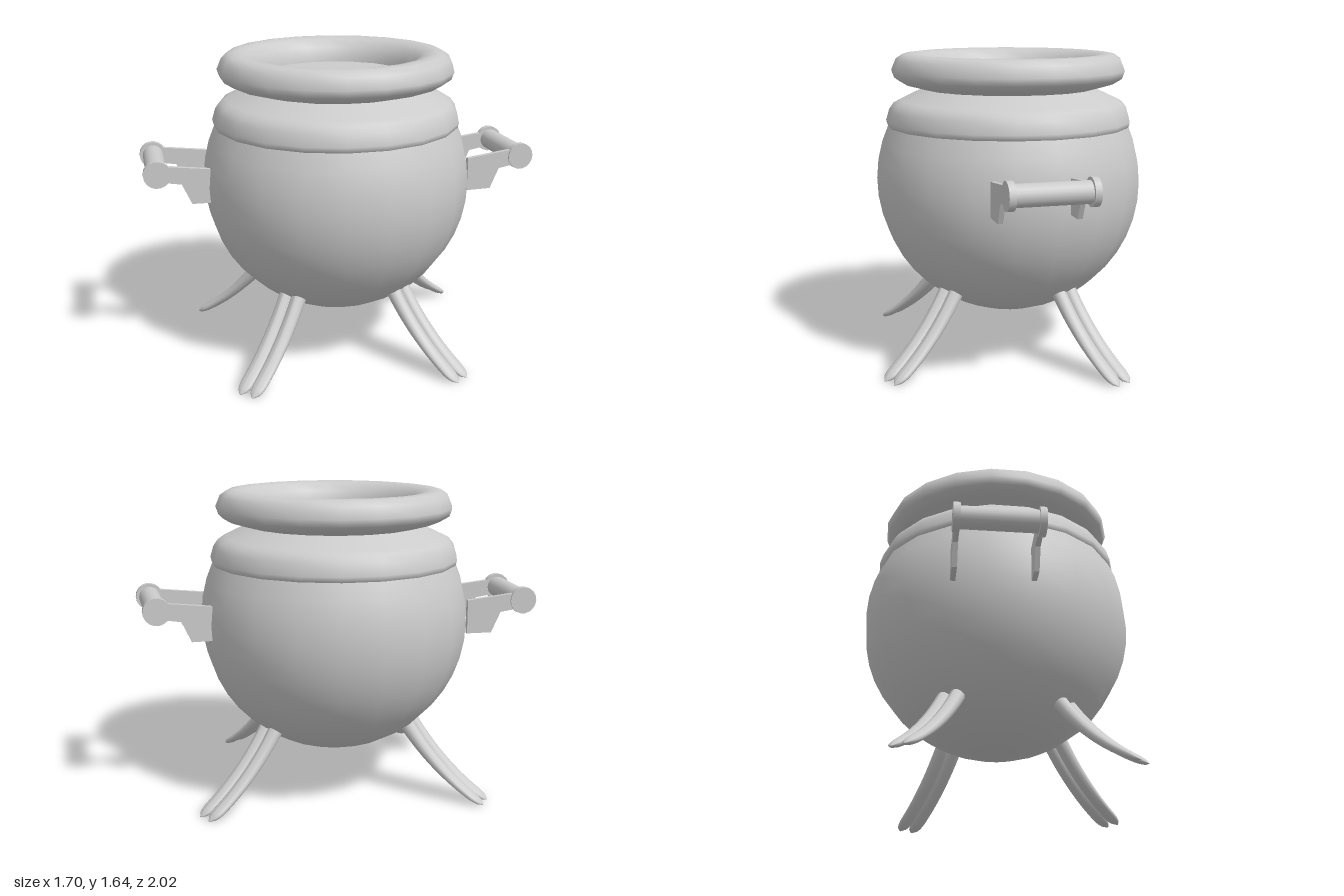
import * as THREE from 'three';

const material = new THREE.MeshStandardMaterial({ color: 0xcccccc, side: THREE.DoubleSide });
const SIDES = 20;

function add(parent, name, geometry) {
  const mesh = new THREE.Mesh(geometry, material);
  mesh.name = name;
  parent.add(mesh);
  return mesh;
}

const lathe = (pairs) =>
  new THREE.LatheGeometry(pairs.map(([r, y]) => new THREE.Vector2(r, y)), SIDES);

// Round bowl: a sphere cut off below the shoulder
function bowlProfile() {
  const R = 0.725, cy = 0.967, n = 14, end = 2.02;
  return Array.from({ length: n + 1 }, (_, i) => {
    const a = (i / n) * end;
    return [R * Math.sin(a), cy - R * Math.cos(a)];
  });
}

// One toe: a cylinder bent along a curve, flattened and rounded at the tip
function toeGeometry() {
  const path = new THREE.QuadraticBezierCurve(
    new THREE.Vector2(0.44, 0.425), new THREE.Vector2(0.63, 0.16), new THREE.Vector2(0.89, 0.02));
  const geo = new THREE.CylinderGeometry(1, 1, 1, 12, 24);
  const pos = geo.attributes.position;
  for (let i = 0; i < pos.count; i++) {
    const t = 0.5 - pos.getY(i);
    const p = path.getPoint(t), d = path.getTangent(t);
    const round = Math.sqrt(Math.max(0.01, 1 - Math.max(0, (t - 0.86) / 0.14) ** 2));
    const side = pos.getX(i) * 0.04 * round;
    const up = pos.getZ(i) * (0.04 - 0.022 * t) * round;
    pos.setXYZ(i, side, p.y + d.x * up, p.x - d.y * up);
  }
  geo.computeVertexNormals();
  return geo;
}

// Handle bracket: a thin plate with a foot against the bowl
function bracketGeometry() {
  const shape = new THREE.Shape([
    [0, 0.045], [-0.31, 0.01], [-0.31, -0.17], [-0.175, -0.17], [-0.125, -0.06], [0, -0.04],
  ].map(([u, y]) => new THREE.Vector2(u, y)));
  const geo = new THREE.ExtrudeGeometry(shape, { depth: 0.026, bevelEnabled: false });
  return geo.translate(0, 0, -0.013).rotateY(-Math.PI / 2);
}

// Handle: grip bar along x, end caps and brackets; +z points away from the bowl
function createHandle() {
  const handle = new THREE.Group();
  add(handle, 'handleGrip', new THREE.CylinderGeometry(0.056, 0.056, 0.4, 18).rotateZ(Math.PI / 2));
  const cap = new THREE.CylinderGeometry(0.072, 0.072, 0.034, 18).rotateZ(Math.PI / 2);
  const bracket = bracketGeometry();
  for (const s of [-1, 1]) {
    add(handle, 'handleCap', cap).position.x = s * 0.205;
    add(handle, 'handleBracket', bracket).position.x = s * 0.2;
  }
  return handle;
}

export function createModel() {
  const model = new THREE.Group();
  model.name = 'cauldron';

  const pot = new THREE.Group();
  pot.name = 'pot';
  pot.position.set(-0.04, 0, 0.013);
  model.add(pot);

  add(pot, 'bowl', lathe(bowlProfile()));
  add(pot, 'shoulder', lathe([
    [0.645, 1.26], [0.662, 1.275], [0.668, 1.3], [0.65, 1.36], [0.625, 1.395], [0.59, 1.413], [0.465, 1.472],
  ]));
  add(pot, 'rim', lathe([
    [0.46, 1.47], [0.57, 1.5], [0.62, 1.53], [0.635, 1.57], [0.61, 1.63], [0.575, 1.655],
    [0.53, 1.66], [0.475, 1.65], [0.432, 1.61], [0.412, 1.56], [0.408, 1.52],
  ]));
  const contents = add(pot, 'contents', new THREE.CircleGeometry(0.412, SIDES).rotateX(-Math.PI / 2));
  contents.position.y = 1.53;

  // Four splayed legs, each of two toes side by side
  const toe = toeGeometry();
  const legs = { backLeg: [-0.035, -0.89], leftLeg: [0.88, -0.115], frontLeg: [0.28, 0.85], rightLeg: [-0.79, 0.4] };
  for (const [name, [x, z]] of Object.entries(legs)) {
    const leg = new THREE.Group();
    leg.name = name;
    leg.rotation.y = Math.atan2(x, z);
    for (const s of [-1, 1]) add(leg, 'toe', toe).position.x = s * 0.038;
    pot.add(leg);
  }

  // Two handles on opposite sides: position, then outward direction
  const handles = {
    backHandle: [0.415, -0.855, 0.41, -0.912],
    frontHandle: [-0.57, 0.84, -0.47, 0.883],
  };
  for (const [name, [x, z, dx, dz]] of Object.entries(handles)) {
    const handle = createHandle();
    handle.name = name;
    handle.position.set(x, 1.073, z);
    handle.rotation.y = Math.atan2(dx, dz);
    model.add(handle);
  }
  return model;
}
